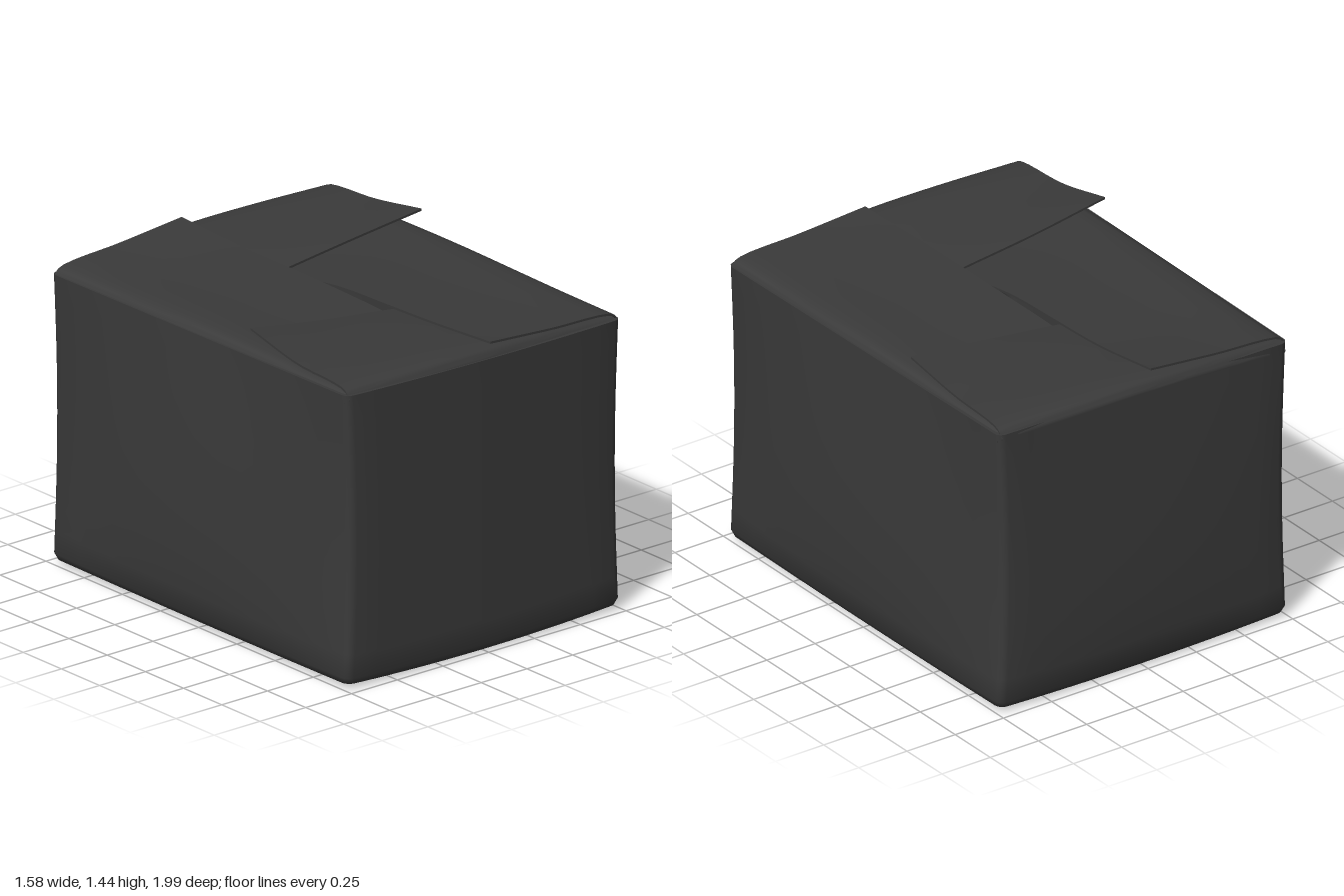
import * as THREE from 'three';
import { toCreasedNormals } from 'three/addons/utils/BufferGeometryUtils.js';

const W = 0.75, D = 0.97, TOP = 1.315;

// Skin closed rings of points into a capped solid, facing outwards
function loft(rings) {
  const n = rings[0].length, last = (rings.length - 1) * n;
  const pos = rings.flat().flatMap((p) => [p.x, p.y, p.z]);
  const idx = [];
  const quad = (a, b, c, d) => idx.push(a, b, c, a, c, d);
  for (let r = 0; r < rings.length - 1; r++) {
    for (let k = 0; k < n; k++) {
      const a = r * n + k, b = r * n + (k + 1) % n;
      quad(a, b, b + n, a + n);
    }
  }
  for (let k = 0; k < n / 2 - 1; k++) {
    quad(n - 1 - k, n - 2 - k, k + 1, k);
    quad(last + k, last + k + 1, last + n - 2 - k, last + n - 1 - k);
  }
  // Signed volume decides the winding
  const at = (i) => new THREE.Vector3().fromArray(pos, i * 3);
  let volume = 0;
  for (let i = 0; i < idx.length; i += 3) {
    volume += at(idx[i]).dot(at(idx[i + 1]).cross(at(idx[i + 2])));
  }
  if (volume < 0) idx.reverse();
  const g = new THREE.BufferGeometry();
  g.setAttribute('position', new THREE.Float32BufferAttribute(pos, 3));
  g.setIndex(idx);
  return toCreasedNormals(g, 0.9);
}

// Bulging walls, pinched corners and a slightly sagging floor and rim
function warp(x, y, z) {
  const t = THREE.MathUtils.clamp(y / TOP, 0, 1);
  const bulge = Math.sin(Math.PI * Math.pow(t, 0.6));
  const pinch = Math.sin(Math.PI * t);
  const u = x / W, v = z / D;
  const sx = 0.04 * bulge * (1 - v * v) - 0.02 * pinch * v * v;
  const sz = z > 0 ? 0.022 * (1 - u * u) : 0.03 * bulge * (1 - u * u);
  return new THREE.Vector3(
    x + u * sx,
    y + 0.012 * u * u * (1 - t) - 0.01 * u * v * t,
    z + v * sz
  );
}

// Rounded rectangle at one height
function boxRing(y, inset) {
  const r = 0.035, pts = [];
  const hx = W - inset - r, hz = D - inset - r;
  const corners = [[1, 1], [-1, 1], [-1, -1], [1, -1]];
  corners.forEach(([sx, sz], c) => {
    for (let i = 0; i <= 4; i++) {
      const a = (c + i / 4) * Math.PI / 2;
      pts.push(warp(sx * hx + r * Math.cos(a), y, sz * hz + r * Math.sin(a)));
    }
    const a = (c + 1) * Math.PI / 2, [nx, nz] = corners[(c + 1) % 4];
    for (let i = 1; i < 12; i++) {
      const f = i / 12;
      pts.push(warp(
        THREE.MathUtils.lerp(sx, nx, f) * hx + r * Math.cos(a), y,
        THREE.MathUtils.lerp(sz, nz, f) * hz + r * Math.sin(a)));
    }
  });
  return pts;
}

function bodyGeometry() {
  const rings = [boxRing(0, 0.4), boxRing(0, 0.04), boxRing(0.012, 0.012)];
  for (let i = 0; i <= 12; i++) rings.push(boxRing(0.04 + (TOP - 0.04) * i / 12, 0));
  for (let i = 12; i >= 0; i--) rings.push(boxRing(0.03 + (TOP - 0.03) * i / 12, 0.016));
  rings.push(boxRing(0.02, 0.4));
  return loft(rings);
}

// Thin bent sheet through rows of control points, from hinge to free edge
function flapGeometry(rows) {
  const curves = rows.map((row) =>
    new THREE.CatmullRomCurve3(row.map((p) => new THREE.Vector3(...p))));
  const rings = [];
  for (let i = 0; i <= 20; i++) {
    const across = new THREE.CatmullRomCurve3(curves.map((c) => c.getPoint(i / 20)));
    const top = across.getPoints(16);
    const under = top.map((p) => new THREE.Vector3(p.x, p.y - 0.01, p.z)).reverse();
    rings.push([...top, ...under]);
  }
  return loft(rings);
}

// Front flap: one end lifted over its neighbour, the other tucked under
function endFlap(lift) {
  const xs = [-0.735, -0.36, 0, 0.36, 0.735];
  const hinge = [1.345, 1.35, 1.35, 1.335, 1.308];
  const mid = [1.375, 1.357, 1.343, 1.32, 1.295];
  const free = [1.42 + lift, 1.38, 1.337, 1.29, 1.265];
  const edge = (x) => D - 0.004 + 0.02 * (1 - (x / W) ** 2);
  return flapGeometry([
    xs.map((x, i) => [x, hinge[i] - 0.035, edge(x)]),
    xs.map((x, i) => [x, hinge[i], edge(x) - 0.03]),
    xs.map((x, i) => [x, mid[i], 0.62]),
    xs.map((x, i) => [x, free[i], 0.32]),
  ]);
}

// Left-hand long flap: front end over the front flap, back end tucked under
function sideFlap(lift) {
  const zs = [0.95, 0.6, 0.3, 0, -0.3, -0.6, -0.95];
  const hinge = [1.328, 1.33, 1.335, 1.34, 1.34, 1.335, 1.325];
  const free = [1.37 + lift, 1.36, 1.355, 1.347, 1.318, 1.285, 1.26];
  const edge = [0.05, 0.03, 0.02, 0.012, -0.018, -0.02, -0.03];
  return flapGeometry([
    zs.map((z, i) => [W - 0.004, hinge[i] - 0.03, z]),
    zs.map((z, i) => [W - 0.03, hinge[i], z]),
    zs.map((z, i) => [0.38, (hinge[i] + free[i]) / 2, z]),
    zs.map((z, i) => [edge[i], free[i], z]),
  ]);
}

export function createModel() {
  const group = new THREE.Group();
  const material = new THREE.MeshStandardMaterial({ color: 0x3a3a3a });
  const add = (name, geometry, turn = 0) => {
    const mesh = new THREE.Mesh(geometry, material);
    mesh.name = name;
    mesh.rotation.y = turn;
    group.add(mesh);
  };
  add('boxBody', bodyGeometry());
  // Four flaps folded into each other like a pinwheel
  add('frontFlap', endFlap(0.02));
  add('backFlap', endFlap(0), Math.PI);
  add('leftFlap', sideFlap(0));
  add('rightFlap', sideFlap(0.02), Math.PI);
  return group;
}
